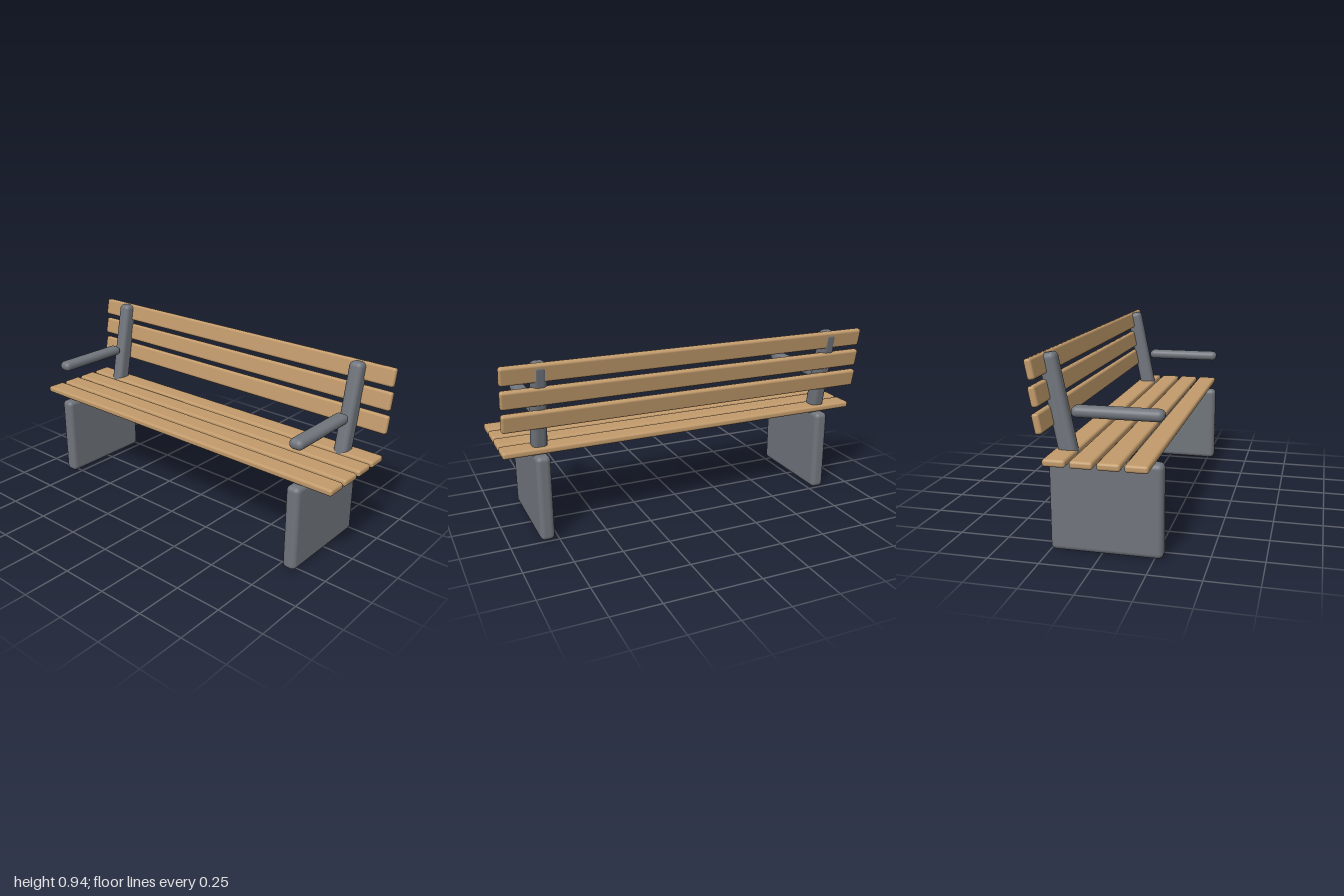
import * as THREE from 'three';
import { RoundedBoxGeometry } from 'three/addons/geometries/RoundedBoxGeometry.js';

export function createModel() {
  const bench = new THREE.Group();
  bench.name = 'parkBench';

  const wood = new THREE.MeshStandardMaterial({ color: 0xc19a6b });
  wood.name = 'wood';
  const metal = new THREE.MeshStandardMaterial({ color: 0x70757c });
  metal.name = 'greyMetal';

  // A box with softened edges, optionally leaning back by an angle
  function addBlock(name, material, size, radius, position, lean = 0) {
    const mesh = new THREE.Mesh(new RoundedBoxGeometry(...size, 4, radius), material);
    mesh.name = name;
    mesh.position.set(...position);
    mesh.rotation.x = -lean;
    bench.add(mesh);
  }

  const lean = 0.2;

  // Seat: four long planks, front to back
  for (let i = 0; i < 4; i++) {
    addBlock(`seatSlat${i + 1}`, wood, [2, 0.035, 0.107], 0.013, [0, 0.4775, 0.205 - i * 0.1245]);
  }

  // Backrest: three tilted planks, bottom to top
  for (let i = 0; i < 3; i++) {
    addBlock(`backSlat${i + 1}`, wood, [2, 0.095, 0.035], 0.013,
      [0, 0.65 + i * 0.1195, -0.239 - i * 0.013], lean);
  }

  // Side frames: leg panel, leaning post and armrest on each side
  for (const [side, x] of [['left', 0.807], ['right', -0.807]]) {
    addBlock(`${side}Leg`, metal, [0.075, 0.455, 0.54], 0.026, [x, 0.2275, 0.02]);
    addBlock(`${side}BackPost`, metal, [0.075, 0.518, 0.086], 0.026, [x, 0.6815, -0.199], lean);
    addBlock(`${side}Armrest`, metal, [0.075, 0.054, 0.43], 0.026, [x, 0.6725, 0.075]);
  }

  return bench;
}
